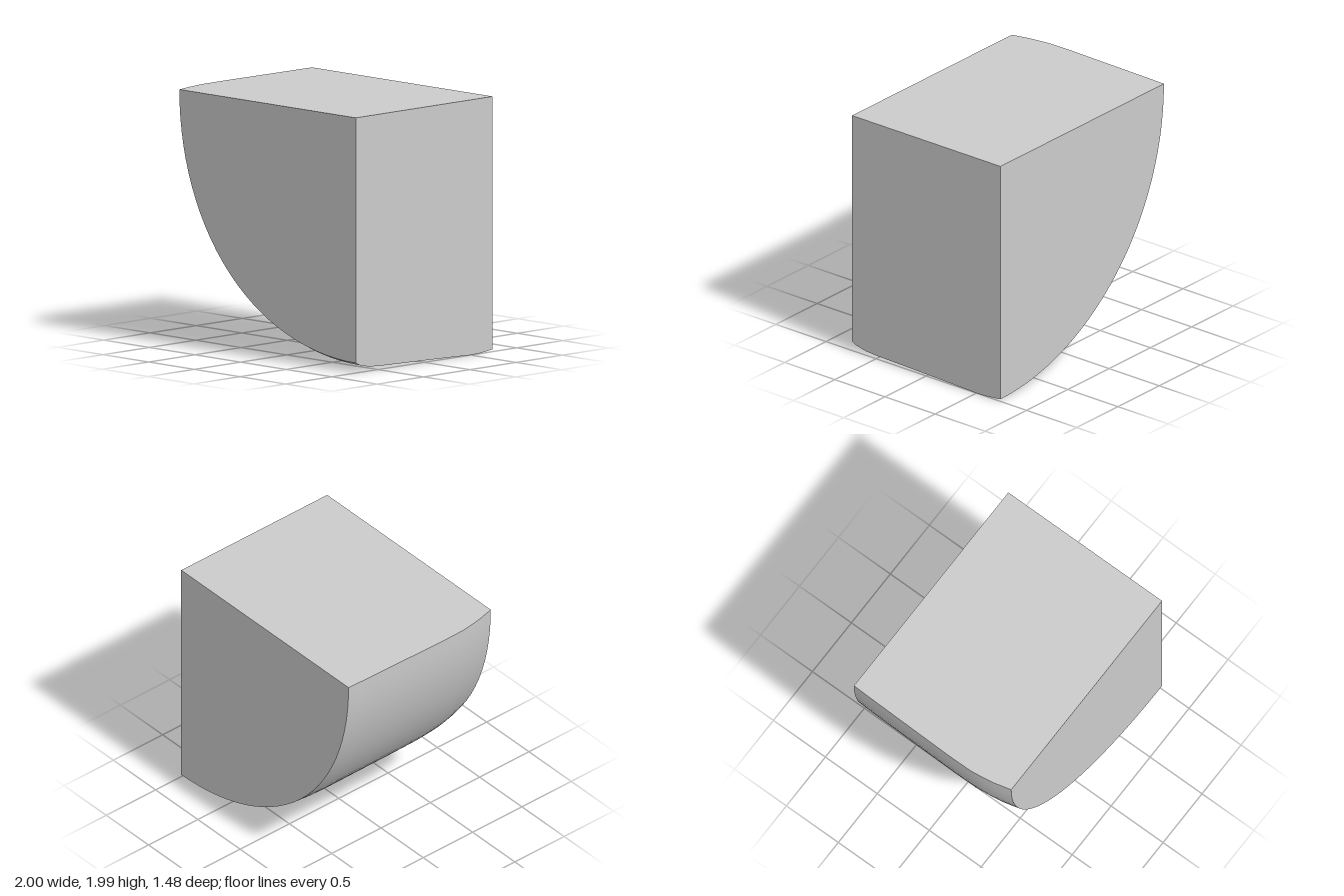
import * as THREE from 'three';

const TOP = 1.99;   // height of the flat top; the arc is centred on the edge x = 1, y = TOP
const STEPS = 28;   // segments along the quarter arc

// Cross-sections from front to back: z, radius at the top edge, radius at the bottom edge, mid-arc bulge
const SECTIONS = [
  [0.74, 1.935, 1.912, 0.025],
  [0.70, 1.945, 1.933, 0.022],
  [0.60, 1.970, 1.956, 0.018],
  [0.50, 1.986, 1.962, 0.015],
  [0.40, 1.998, 1.965, 0.013],
  [0.20, 2.000, 1.970, 0.012],
  [0.00, 1.996, 1.975, 0.012],
  [-0.25, 1.991, 1.982, 0.012],
  [-0.50, 1.986, 1.990, 0.012],
  [-0.60, 1.984, 1.987, 0.012],
  [-0.74, 1.980, 1.972, 0.012],
];

// Quarter arc of one cross-section, from the top edge down to the bottom edge
function arc([z, rTop, rBottom, bulge]) {
  return Array.from({ length: STEPS + 1 }, (_, j) => {
    const a = (j / STEPS) * Math.PI / 2;
    const r = THREE.MathUtils.lerp(rTop, rBottom, Math.sin(a) ** 2) + bulge * Math.sin(2 * a) ** 2;
    return new THREE.Vector3(1 - r * Math.cos(a), TOP - r * Math.sin(a), z);
  });
}

function build(points, index) {
  const g = new THREE.BufferGeometry().setFromPoints(points);
  g.setIndex(index);
  g.computeVertexNormals();
  return g;
}

// Flat face: triangles from a centre to a counter-clockwise outline
function fan(centre, outline) {
  const index = [];
  for (let i = 1; i < outline.length; i++) index.push(0, i, i + 1);
  return build([centre, ...outline], index);
}

// Smooth skin stretched over the cross-sections
function skin(rows) {
  const n = STEPS + 1, index = [];
  for (let i = 0; i < rows.length - 1; i++) {
    for (let j = 0; j < STEPS; j++) {
      const a = i * n + j, b = a + n;
      index.push(a, b, a + 1, b, b + 1, a + 1);
    }
  }
  return build(rows.flat(), index);
}

export function createModel() {
  const group = new THREE.Group();
  group.name = 'quarterRoundBlock';
  const material = new THREE.MeshStandardMaterial({ color: 0xcccccc });
  const add = (name, geometry) => {
    const mesh = new THREE.Mesh(geometry, material);
    mesh.name = name;
    group.add(mesh);
  };

  const rows = SECTIONS.map(arc);
  const front = rows[0], back = rows[rows.length - 1];
  const corner = (z) => new THREE.Vector3(1, TOP, z);
  const frontCorner = corner(0.74), backCorner = corner(-0.74), middle = corner(0);

  add('curvedSide', skin(rows));
  add('frontFace', fan(frontCorner, front));
  add('backFace', fan(backCorner, [...back].reverse()));
  // Top and flat side end in the curved edges of the skin
  const topEdge = rows.map((r) => r[0]).reverse();
  const bottomEdge = rows.map((r) => r[STEPS]);
  add('topFace', fan(middle, [backCorner, ...topEdge, frontCorner]));
  add('flatSide', fan(middle, [frontCorner, ...bottomEdge, backCorner]));
  return group;
}
